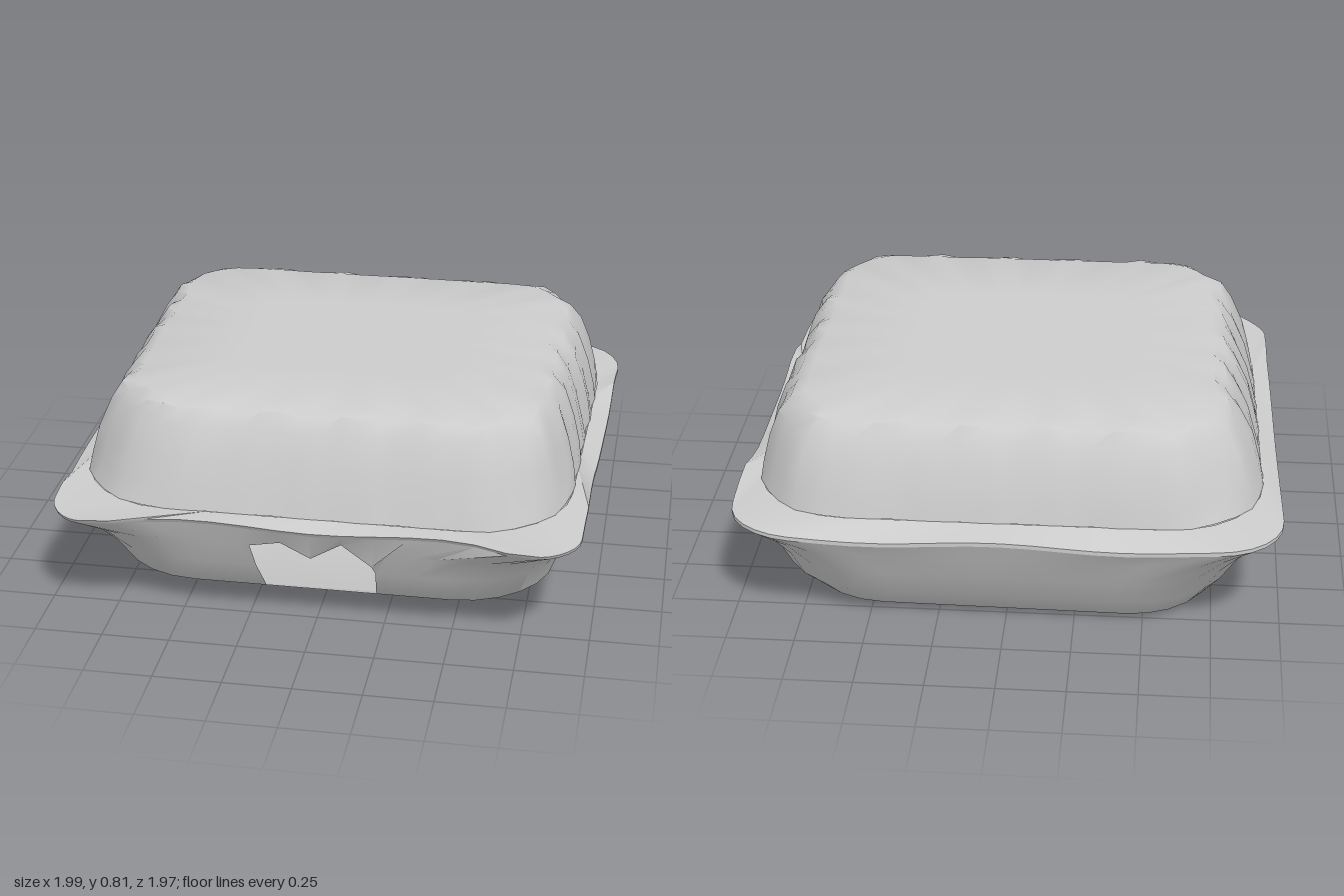
import * as THREE from 'three';
import { toCreasedNormals } from 'three/addons/utils/BufferGeometryUtils.js';

const SIDE = 14, CORNER = 6;            // columns per straight side and per corner
const COLS = 4 * (SIDE + CORNER);
const material = new THREE.MeshStandardMaterial({ color: 0xcccccc, side: THREE.DoubleSide });
const bump = (v, centre, width) => Math.exp(-(((v - centre) / width) ** 2));

// Rounded rectangle, counter-clockwise from above, starting at the left end of the front.
function outline([y, x0, x1, z0, z1, back, front = back]) {
  const radius = [front, back, back, front];
  const cx = [x1 - front, x1 - back, x0 + back, x0 + front];
  const cz = [z1 - front, z0 + back, z0 + back, z1 - front];
  const points = [];
  for (let s = 0; s < 4; s++) {
    const corner = (i, a) => new THREE.Vector3(
      cx[i] + radius[i] * Math.sin(a), y, cz[i] + radius[i] * Math.cos(a));
    const a0 = s * Math.PI / 2;
    const start = corner((s + 3) % 4, a0), end = corner(s, a0);
    for (let i = 0; i < SIDE; i++) points.push(start.clone().lerp(end, i / SIDE));
    for (let i = 0; i < CORNER; i++) points.push(corner(s, a0 + (i / CORNER) * Math.PI / 2));
  }
  return points;
}

// Skin a stack of outlines; deform moves points, skip leaves cells open.
function loft(name, rows, deform, skip = () => false) {
  const positions = [], index = [];
  rows.forEach((row, r) => outline(row).forEach((p, c) => {
    deform(p, r, c);
    p.x *= 1 - 0.025 * (p.z + 0.4);      // the box narrows slightly toward the front
    positions.push(p.x, p.y, p.z);
  }));
  for (let r = 0; r < rows.length - 1; r++) {
    for (let c = 0; c < COLS; c++) {
      if (skip(r, c)) continue;
      const a = r * COLS + c, b = r * COLS + (c + 1) % COLS;
      index.push(a, b, b + COLS, a, b + COLS, a + COLS);
    }
  }
  const geometry = new THREE.BufferGeometry();
  geometry.setAttribute('position', new THREE.Float32BufferAttribute(positions, 3));
  geometry.setIndex(index);
  const mesh = new THREE.Mesh(toCreasedNormals(geometry, 0.65), material);
  mesh.name = name;
  return mesh;
}

// Rim edge: front corners form tabs that push forward and curl up; the sides ripple.
function bendRim(p) {
  if (p.z > 0.6) {
    const tab = bump(Math.abs(p.x), 0.8, 0.15);
    p.z += 0.085 * tab;
    p.y += 0.02 + 0.025 * tab;
  }
  if (p.x > 0.8) p.y += 0.05 * bump(p.z, 0.42, 0.18) + 0.05 * bump(p.z, -0.55, 0.15);
  p.y += 0.01 * Math.sin(p.x * 7 + p.z * 5);
}

export function createModel() {
  const group = new THREE.Group();
  group.name = 'foodBox';

  // Rows: y, min x, max x, min z, max z, back corner radius, front corner radius
  const rimUnder = [0.4, -0.988, 0.988, -0.985, 0.9, 0.24, 0.13];
  const rimOver = [0.415, -0.988, 0.988, -0.985, 0.91, 0.24, 0.13];
  const rimInner = [0.445, -0.92, 0.92, -0.88, 0.835, 0.36];

  // Lower tray with broadly rounded corners and a torn opening in the front wall
  const firstGap = SIDE / 2 - 2, tornTop = [0, 0.02, -0.035, 0.03, -0.05];
  group.add(loft('tray', [
    [0, 0, 0, -0.04, -0.04, 0],
    [0, -0.69, 0.7, -0.72, 0.6, 0.28, 0.26],
    [0.025, -0.75, 0.77, -0.765, 0.655, 0.32, 0.3],
    [0.11, -0.825, 0.855, -0.83, 0.74, 0.38, 0.35],
    [0.23, -0.885, 0.895, -0.9, 0.81, 0.4, 0.36],
    [0.335, -0.94, 0.935, -0.95, 0.86, 0.34, 0.28],
    rimUnder,
  ], (p, r, c) => {
    if (r < 3) p.y += 0.03 * (p.z + 0.72) + 0.01 * p.x;   // floor tilts up to the front
    if (r === 6) bendRim(p);
    if (r > 2 && r < 6 && c >= firstGap && c <= firstGap + 4) {
      p.x *= [1.6, 1.5, 1.22][r - 3];
      if (r === 5) p.y += tornTop[c - firstGap];
    }
  }, (r, c) => (r === 3 || r === 4) && c >= firstGap && c < firstGap + 4));

  // Projecting flange where tray and lid meet
  group.add(loft('rim', [rimUnder, rimOver, rimInner], (p, r) => {
    if (r < 2) bendRim(p);
  }));

  // Lid with slanted, irregularly pleated walls and a flat top
  const pleat = [0.4, 0.9, 1, 0.9, 0.7, 0.3, 0, 0];
  group.add(loft('lid', [
    rimInner,
    [0.52, -0.897, 0.905, -0.863, 0.815, 0.36],
    [0.62, -0.868, 0.88, -0.833, 0.785, 0.34],
    [0.72, -0.82, 0.845, -0.793, 0.742, 0.3],
    [0.775, -0.78, 0.8, -0.755, 0.705, 0.26],
    [0.798, -0.735, 0.75, -0.7, 0.655, 0.2],
    [0.8, -0.4, 0.4, -0.38, 0.32, 0.1],
    [0.8, 0, 0, -0.03, -0.03, 0],
  ], (p, r, c) => {
    const onSide = Math.abs(p.x) > 0.7 ? 1 : 0.6;
    const wave = Math.sin(c * 2.2) + 0.5 * Math.sin(c * 0.85 + 1);
    const fold = 1 + 0.012 * onSide * pleat[r] * wave;
    p.x *= fold;
    p.z *= fold;
    if (r === 4) p.y += 0.01 * Math.sin(c * 1.7);
    if (r > 2) p.y += 0.018 * p.z;       // top leans gently back
  }));

  return group;
}
